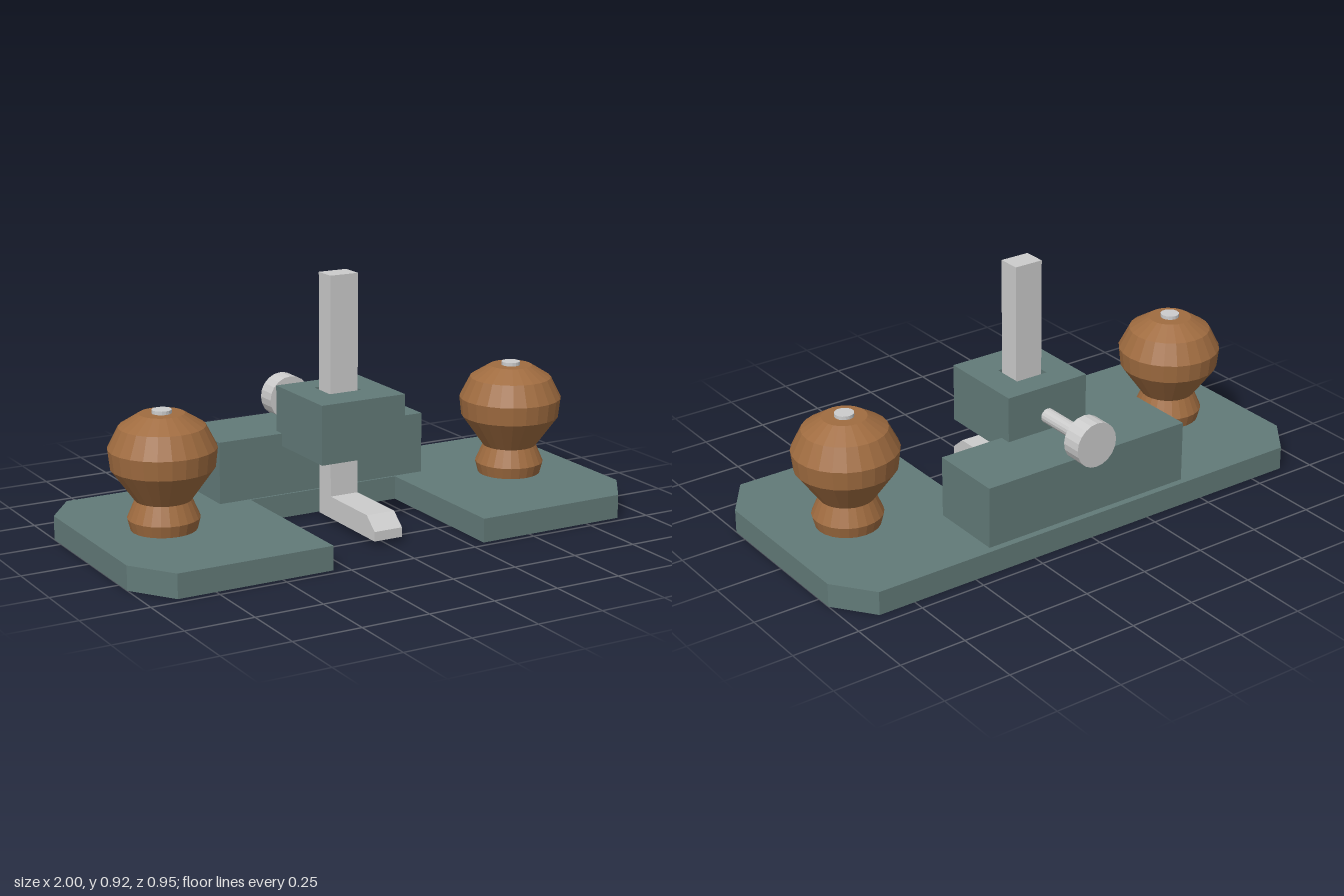
import * as THREE from 'three';

const paint = new THREE.MeshStandardMaterial({ color: 0x627a78, flatShading: true });
const wood = new THREE.MeshStandardMaterial({ color: 0xa06c40, flatShading: true });
const metal = new THREE.MeshStandardMaterial({ color: 0xcccccc, flatShading: true });

function mesh(name, geometry, material) {
  const m = new THREE.Mesh(geometry, material);
  m.name = name;
  return m;
}

// Flat plate from [x, z] corners, raised from y0 to y1
function plate(corners, y0, y1, hole) {
  const toVec = ([x, z]) => new THREE.Vector2(x, -z);
  const shape = new THREE.Shape(corners.map(toVec));
  if (hole) shape.holes.push(new THREE.Path(hole.map(toVec)));
  return new THREE.ExtrudeGeometry(shape, { depth: y1 - y0, bevelEnabled: false })
    .rotateX(-Math.PI / 2).translate(0, y0, 0);
}

const rect = (x, z0, z1) => [[-x, z1], [x, z1], [x, z0], [-x, z0]];

// Cylinder along z between two depths
function rod(radius, z0, z1, sides) {
  return new THREE.CylinderGeometry(radius, radius, z1 - z0, sides)
    .rotateX(Math.PI / 2).translate(0, 0.373, (z0 + z1) / 2);
}

function createKnob(name, x) {
  const knob = new THREE.Group();
  knob.name = name;
  const profile = [[0, 0.088], [0.117, 0.088], [0.128, 0.13], [0.1, 0.195], [0.183, 0.31],
    [0.191, 0.38], [0.152, 0.457], [0.08, 0.502], [0, 0.502]];
  knob.add(mesh('knobBody', new THREE.LatheGeometry(
    profile.map(([r, y]) => new THREE.Vector2(r, y)), 24), wood));
  knob.add(mesh('knobStud',
    new THREE.CylinderGeometry(0.035, 0.035, 0.03, 16).translate(0, 0.5, 0), metal));
  knob.position.set(x, 0, 0.01);
  return knob;
}

export function createModel() {
  const model = new THREE.Group();
  model.name = 'routerPlane';

  // Sole with clipped corners and an open throat at the front
  const half = [[0.305, -0.137], [0.305, 0.473], [0.89, 0.473], [1, 0.315], [1, -0.31], [0.89, -0.455]];
  const mirrored = half.map(([x, z]) => [-x, z]).reverse();
  model.add(mesh('sole', plate([...half, ...mirrored], 0, 0.088), paint));

  // Raised bridge behind the throat
  model.add(mesh('bridge', plate(rect(0.425, -0.43, -0.145), 0.088, 0.317), paint));

  // Collar with a square slot for the cutter
  model.add(mesh('collar',
    plate(rect(0.17, -0.188, 0.153), 0.27, 0.488, rect(0.065, -0.093, 0.022).reverse()), paint));

  // L-shaped cutter: upright shank with a bevelled foot, profile in [z, y]
  const profile = [[-0.073, 0.02], [0.325, 0.02], [0.325, 0.055], [0.27, 0.102],
    [0.012, 0.102], [0.012, 0.916], [-0.073, 0.916]];
  const cutter = new THREE.ExtrudeGeometry(
    new THREE.Shape(profile.map(([z, y]) => new THREE.Vector2(z, y))),
    { depth: 0.112, bevelEnabled: false });
  cutter.translate(0, 0, -0.056).rotateY(-Math.PI / 2);
  model.add(mesh('cutter', cutter, metal));

  // Clamping thumbscrew
  const screw = new THREE.Group();
  screw.name = 'thumbscrew';
  screw.add(mesh('screwShaft', rod(0.028, -0.4, -0.073, 16), metal));
  screw.add(mesh('screwHead', rod(0.084, -0.474, -0.396, 20), metal));
  model.add(screw);

  // Turned handles
  model.add(createKnob('leftKnob', 0.72), createKnob('rightKnob', -0.72));
  return model;
}
